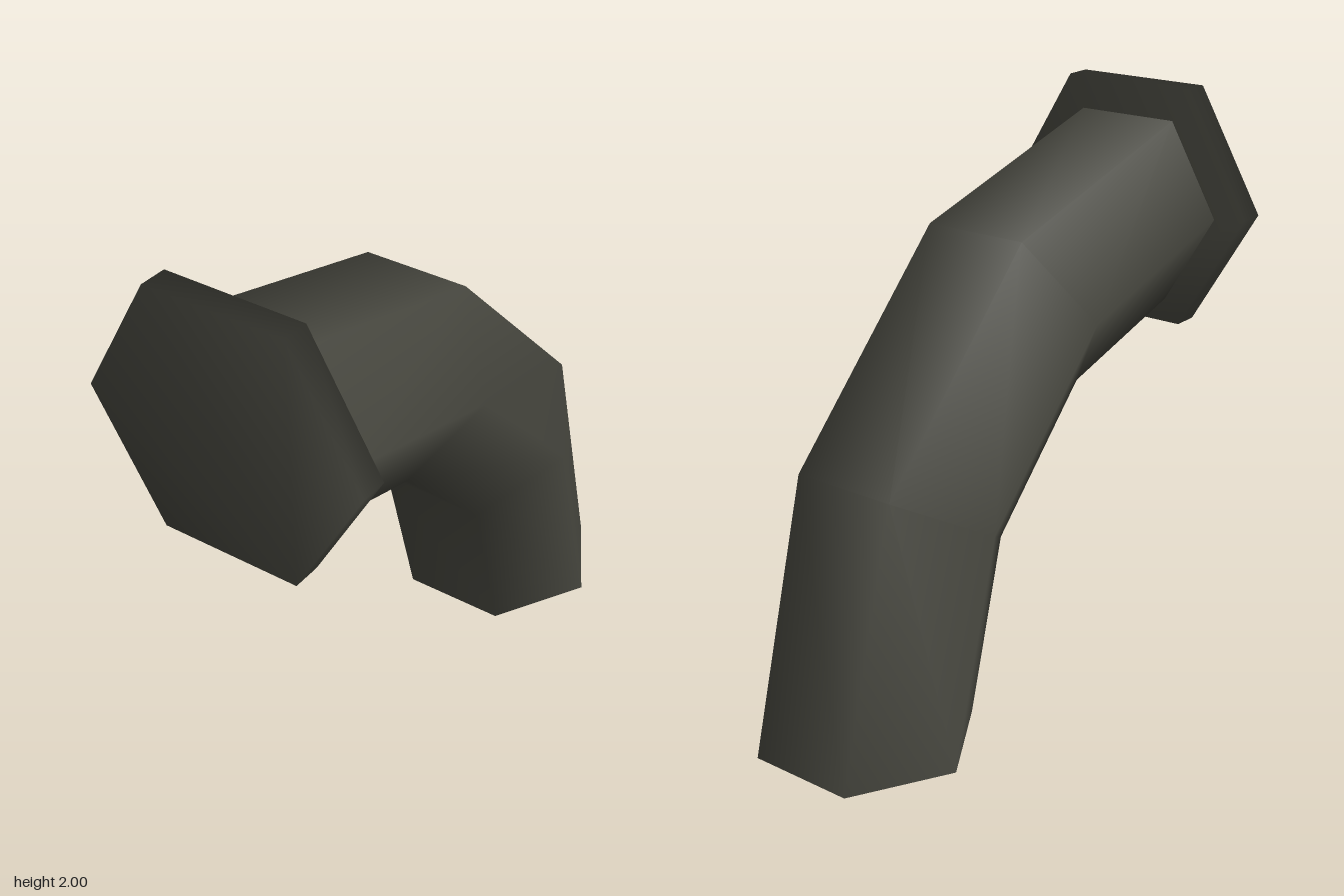
import * as THREE from 'three';

// Hexagonal ring whose flat sides touch the outer and inner points, given as [y, z]
function hexRing(outer, inner, radius) {
  const points = [];
  for (let i = 0; i < 6; i++) {
    const a = (i * Math.PI) / 3;
    const s = Math.sin(a) / Math.sin(Math.PI / 3);
    const t = (1 + s) / 2;
    points.push([
      radius * Math.cos(a),
      inner[0] + (outer[0] - inner[0]) * t,
      inner[1] + (outer[1] - inner[1]) * t,
    ]);
  }
  return points;
}

// Smooth skin over successive rings, with optional end caps sharing its corners
function loft(rings, capped) {
  const n = 6;
  const index = [];
  for (let r = 0; r < rings.length - 1; r++) {
    for (let j = 0; j < n; j++) {
      const a = r * n + j;
      const b = r * n + ((j + 1) % n);
      index.push(a, b, a + n, b, b + n, a + n);
    }
  }
  if (capped) {
    const last = (rings.length - 1) * n;
    for (let k = 1; k < n - 1; k++) {
      const p = (5 + k) % n;
      const q = (6 + k) % n;
      index.push(5, q, p, last + 5, last + p, last + q);
    }
  }
  return build(rings.flat(), index);
}

function build(points, index) {
  const geometry = new THREE.BufferGeometry();
  geometry.setAttribute('position', new THREE.Float32BufferAttribute(points.flat(), 3));
  geometry.setIndex(index);
  geometry.computeVertexNormals();
  return geometry;
}

export function createModel() {
  const group = new THREE.Group();
  group.name = 'pipeElbow';
  const darkMetal = new THREE.MeshStandardMaterial({ color: 0x47473f });
  darkMetal.name = 'darkMetal';

  const add = (name, geometry) => {
    const mesh = new THREE.Mesh(geometry, darkMetal);
    mesh.name = name;
    group.add(mesh);
  };

  // Bent pipe, from the ground up and over to the front
  const pipeRings = [
    hexRing([0, -0.977], [0, -0.307], 0.386),
    hexRing([0.945, -0.725], [0.612, -0.143], 0.386),
    hexRing([1.635, -0.037], [1.055, 0.3], 0.386),
    hexRing([1.88, 0.88], [1.21, 0.88], 0.386),
  ];
  add('bentPipe', loft(pipeRings, false));

  // Flat cap under the pipe
  add('pipeBase', build(pipeRings[0], [0, 2, 1, 0, 3, 2, 0, 4, 3, 0, 5, 4]));

  // Wide hexagonal flange closing the front end
  add('flange', loft([0.877, 0.977].map((z) => hexRing([2, z], [1.12, z], 0.51)), true));

  return group;
}
